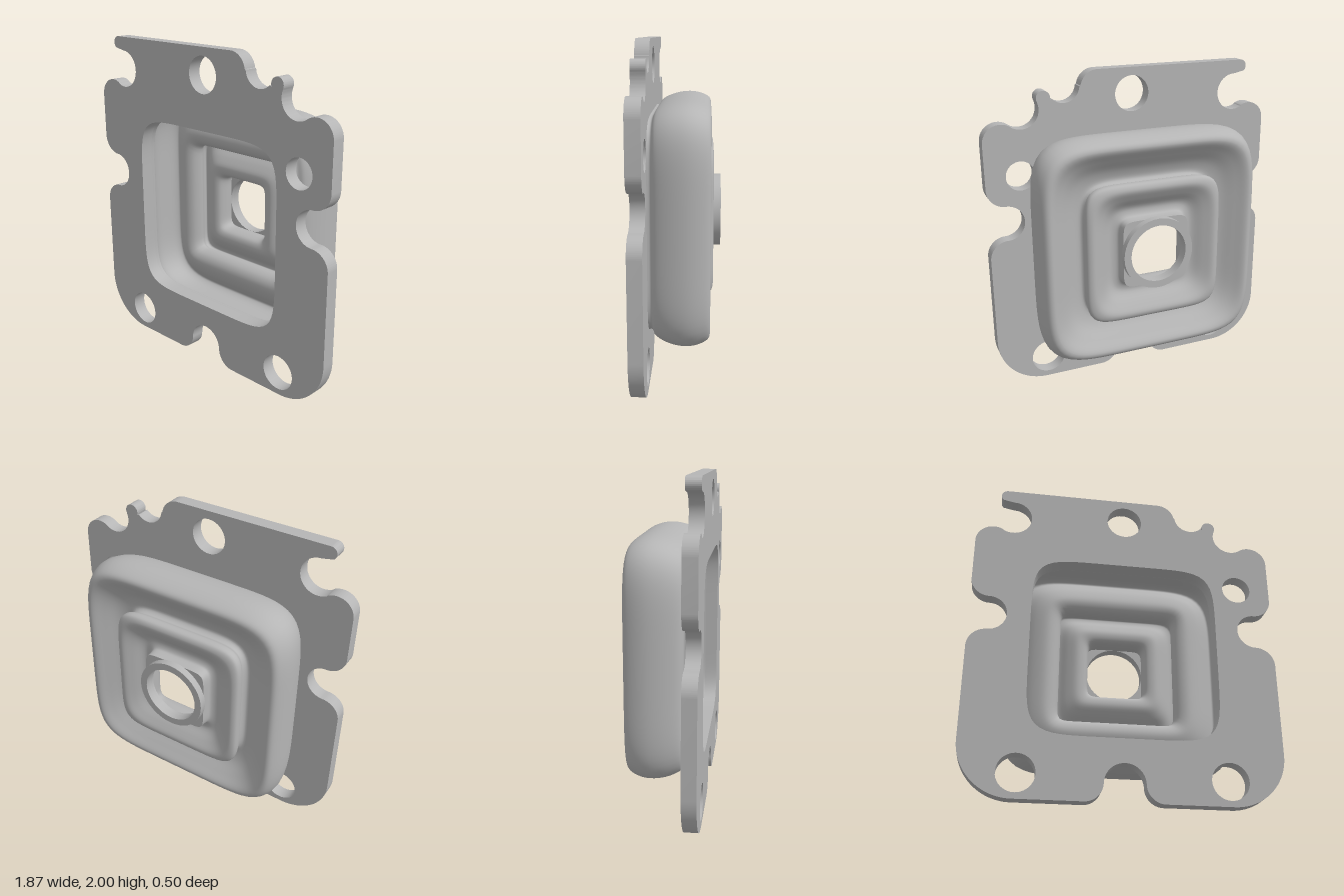
import * as THREE from 'three';
import { toCreasedNormals } from 'three/addons/utils/BufferGeometryUtils.js';

const CY = 0.94; // height of the bellows axis
const SEG = 128;
const rad = (d) => (d * Math.PI) / 180;

// Point on a rounded square of half width r; higher n gives tighter corners
function squarePoint(r, n, a) {
  const c = Math.abs(Math.cos(a)), s = Math.abs(Math.sin(a));
  const d = r / Math.pow(c ** n + s ** n, 1 / n);
  return new THREE.Vector2(d * Math.cos(a), d * Math.sin(a));
}

function squareLoop(r, n, y = 0) {
  const pts = [];
  for (let j = 0; j < SEG; j++) {
    const p = squarePoint(r, n, (j / SEG) * Math.PI * 2);
    pts.push(new THREE.Vector2(p.x, p.y + y));
  }
  return pts;
}

function circleHole(x, y, r) {
  return new THREE.Path().absarc(x, y, r, 0, Math.PI * 2, true);
}

function extrude(shape, z0, z1) {
  const g = new THREE.ExtrudeGeometry(shape, { depth: z1 - z0, bevelEnabled: false, curveSegments: 20 });
  g.translate(0, 0, z0);
  return toCreasedNormals(g, 0.6);
}

// Smooth skin through rounded-square sections [half width, z, corner exponent]
function skin(profile, inward) {
  const rows = 90;
  const curve = new THREE.CatmullRomCurve3(
    profile.map(([r, z, n]) => new THREE.Vector3(r, z, n / 100)), false, 'centripetal');
  const pos = [], idx = [];
  for (let i = 0; i <= rows; i++) {
    const p = curve.getPoint(i / rows);
    for (let j = 0; j < SEG; j++) {
      const q = squarePoint(p.x, p.z * 100, (j / SEG) * Math.PI * 2);
      pos.push(q.x, q.y, p.y);
    }
  }
  for (let i = 0; i < rows; i++) {
    for (let j = 0; j < SEG; j++) {
      const k = (j + 1) % SEG;
      const a = i * SEG + j, b = a + SEG, c = i * SEG + k, d = c + SEG;
      if (inward) idx.push(a, c, b, c, d, b);
      else idx.push(a, b, c, c, b, d);
    }
  }
  const g = new THREE.BufferGeometry();
  g.setAttribute('position', new THREE.Float32BufferAttribute(pos, 3));
  g.setIndex(idx);
  g.computeVertexNormals();
  return g;
}

// Flange outline, counter-clockwise from the lower left corner
function plateShape() {
  const s = new THREE.Shape();
  const arc = (x, y, r, a0, a1) => s.absarc(x, y, r, rad(a0), rad(a1), a1 < a0);
  s.moveTo(-0.62, 0);
  // bottom slot
  arc(-0.23, 0.11, 0.11, -90, 0);
  arc(0, 0.105, 0.12, 180, 0);
  arc(0.23, 0.11, 0.11, 180, 270);
  // left side with its notch
  arc(0.62, 0.315, 0.315, -90, 0);
  arc(0.82, 0.885, 0.115, 0, 90);
  arc(0.82, 1.11, 0.11, 270, 90);
  arc(0.82, 1.335, 0.115, -90, 0);
  // upper left scallops and small nib
  arc(0.825, 1.61, 0.11, 0, 120);
  arc(0.70, 1.79, 0.11, -50, -200);
  arc(0.56, 1.853, 0.043, -30, 200);
  arc(0.435, 1.915, 0.10, -45, -175);
  arc(0.22, 1.89, 0.11, 10, 90);
  // top edge and hooked corner
  arc(-0.755, 1.96, 0.04, 90, 230);
  arc(-0.71, 1.80, 0.115, 90, -120);
  arc(-0.825, 1.61, 0.11, 60, 180);
  // right side with its notch
  arc(-0.82, 1.335, 0.115, 180, 270);
  arc(-0.82, 1.11, 0.11, 90, -90);
  arc(-0.82, 0.885, 0.115, 90, 180);
  arc(-0.62, 0.315, 0.315, 180, 270);
  // bolt holes and the bellows opening
  s.holes.push(
    circleHole(0, 1.84, 0.11),
    circleHole(0.72, 1.4, 0.09),
    circleHole(0.605, 0.145, 0.11),
    circleHole(-0.605, 0.145, 0.11),
    new THREE.Path(squareLoop(0.57, 6.5, CY).reverse()));
  return s;
}

export function createModel() {
  const group = new THREE.Group();
  const grey = new THREE.MeshStandardMaterial({ color: 0xb5b5b5 });
  grey.name = 'rubber grey';
  const add = (name, geometry, y = 0) => {
    const m = new THREE.Mesh(geometry, grey);
    m.name = name;
    m.position.y = y;
    group.add(m);
  };

  add('mountingPlate', extrude(plateShape(), 0.165, 0.25));

  // Outer skin: neck, big fold, valley, small fold, square spout
  add('bellowsOutside', skin([
    [0.63, 0.17, 6.5], [0.63, 0.145, 6.5], [0.665, 0.125, 6], [0.70, 0.05, 6], [0.715, -0.05, 6],
    [0.702, -0.13, 6], [0.675, -0.18, 6], [0.645, -0.188, 6], [0.58, -0.145, 6], [0.50, -0.09, 6],
    [0.44, -0.075, 6], [0.42, -0.105, 7], [0.44, -0.15, 7], [0.435, -0.19, 7], [0.40, -0.205, 6],
    [0.34, -0.175, 6], [0.27, -0.13, 6], [0.225, -0.14, 7], [0.215, -0.17, 8], [0.213, -0.205, 8],
  ], false), CY);

  // Inner skin follows the outer one at wall thickness
  add('bellowsInside', skin([
    [0.57, 0.17, 6.5], [0.57, 0.145, 6.5], [0.61, 0.11, 6.5], [0.65, 0.04, 6], [0.663, -0.05, 6],
    [0.655, -0.11, 6], [0.635, -0.135, 6], [0.60, -0.105, 6], [0.53, -0.045, 7], [0.45, -0.012, 9],
    [0.39, -0.035, 14], [0.365, -0.09, 18], [0.385, -0.13, 14], [0.385, -0.155, 10], [0.36, -0.148, 9],
    [0.31, -0.105, 8], [0.25, -0.072, 8], [0.20, -0.085, 8], [0.18, -0.13, 8], [0.18, -0.185, 8],
  ], true), CY);

  // Square end wall of the spout and the round collar behind it
  const endWall = new THREE.Shape(squareLoop(0.213, 8));
  endWall.holes.push(circleHole(0, 0, 0.18));
  add('spoutEndWall', extrude(endWall, -0.206, -0.182), CY);

  const collar = new THREE.Shape().absarc(0, 0, 0.225, 0, Math.PI * 2, false);
  collar.holes.push(circleHole(0, 0, 0.18));
  add('collar', extrude(collar, -0.25, -0.204), CY);

  return group;
}
